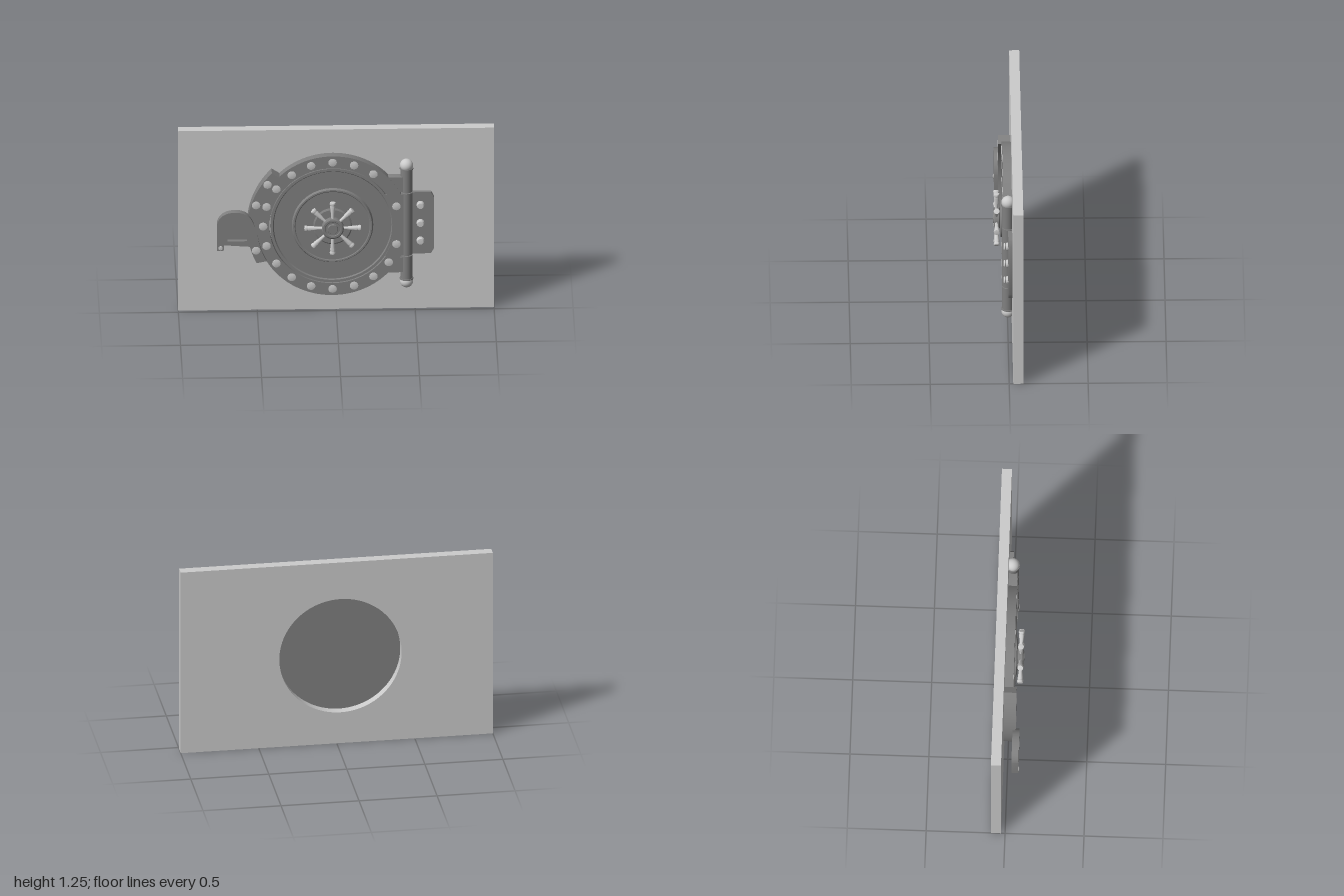
import * as THREE from 'three';
import { toCreasedNormals } from 'three/addons/utils/BufferGeometryUtils.js';

const CX = -0.024, CY = 0.605; // centre of the round door
const pale = new THREE.MeshStandardMaterial({ color: 0xcccccc });
const dark = new THREE.MeshStandardMaterial({ color: 0x808080 });
const V = (x, y) => new THREE.Vector2(x, y);

export function createModel() {
  const model = new THREE.Group();
  const add = (name, geo, mat, x = 0, y = 0, z = 0, parent = model) => {
    const mesh = new THREE.Mesh(geo, mat);
    mesh.name = name;
    mesh.position.set(x, y, z);
    parent.add(mesh);
    return mesh;
  };
  const polygon = pts => new THREE.Shape(pts.map(p => V(...p)));
  const circle = (r, x = 0, y = 0) => new THREE.Path().absarc(x, y, r, 0, Math.PI * 2, true);
  // Flat plate between two depths
  const plate = (shape, z0, z1) => toCreasedNormals(
    new THREE.ExtrudeGeometry(shape, { depth: z1 - z0, bevelEnabled: false, curveSegments: 64 }).translate(0, 0, z0), 0.6);
  // Turned part whose axis points to the front; points are [radius, z]
  const turned = (pts, seg = 64) => toCreasedNormals(
    new THREE.LatheGeometry(pts.map(p => V(...p)), seg).rotateX(Math.PI / 2), 0.5);
  const polar = (r, deg) => {
    const a = THREE.MathUtils.degToRad(deg);
    return [CX + r * Math.cos(a), CY + r * Math.sin(a)];
  };

  // Wall with the round opening
  const wall = polygon([[-1, 0], [1, 0], [1, 1.25], [-1, 1.25]]);
  wall.holes.push(circle(0.392, CX, CY));
  add('wall', plate(wall, -0.09, -0.026), pale);

  // Fixed door frame with its two hinge arms
  const ring = new THREE.Shape().absarc(0, 0, 0.483, 0, Math.PI * 2, false);
  ring.holes.push(circle(0.4));
  add('frameRing', plate(ring, -0.026, 0.03), dark, CX, CY);
  for (const s of [1, -1]) {
    const pts = [[0.26, 0.3], [0.33, 0.228], [0.45, 0.228], [0.45, 0.33], [0.33, 0.33]];
    const arm = polygon(pts.map(([x, y]) => [x, CY + s * y]));
    add('frameArm', plate(arm, -0.025, 0.029), dark);
  }

  // Door leaf with stepped face
  add('door', turned([[0, -0.03], [0.393, -0.03], [0.395, 0.028], [0.378, 0.028], [0.372, 0.02],
    [0.258, 0.02], [0.25, 0.034], [0.24, 0.034], [0.235, 0.03], [0, 0.03]], 96), dark, CX, CY);

  // Rivets around the frame
  const rivet = turned([[0, 0], [0.027, 0], [0.027, 0.004], [0.018, 0.006], [0, 0.007]], 20);
  for (let i = 0; i < 20; i++) {
    if (i === 0 || i === 1 || i === 2 || i === 19) continue;
    add('frameRivet', rivet, pale, ...polar(0.44, i * 18), 0.027);
  }

  // Curved latch plate on the door's right side
  const rad = THREE.MathUtils.degToRad;
  const latch = new THREE.Shape().absarc(0, 0, 0.54, rad(135.5), rad(207), false);
  latch.absarc(0, 0, 0.478, rad(209), rad(134), true);
  add('latchPlate', plate(latch, -0.026, 0.052), dark, CX, CY);
  for (const a of [144, 162, 198]) add('latchRivet', rivet, pale, ...polar(0.51, a), 0.048);

  // Lock box with a square recess
  const lock = new THREE.Shape([[-0.757, 0.458], [-0.715, 0.458], [-0.712, 0.498], [-0.54, 0.485],
    [-0.52, 0.5], [-0.52, 0.62]].map(p => V(...p)));
  lock.bezierCurveTo(-0.53, 0.68, -0.57, 0.724, -0.64, 0.724);
  lock.bezierCurveTo(-0.7, 0.724, -0.745, 0.7, -0.757, 0.64);
  const recess = [[-0.692, 0.525], [-0.692, 0.68], [-0.568, 0.68], [-0.568, 0.525]];
  lock.holes.push(new THREE.Path(recess.map(p => V(...p))));
  add('lockBox', plate(lock, 0.032, 0.076), dark);
  add('lockRecess', new THREE.BoxGeometry(0.126, 0.157, 0.015), dark, -0.63, 0.6025, 0.0405);
  add('lockPin', turned([[0, 0], [0.014, 0], [0.014, 0.005], [0, 0.008]], 16), pale, -0.735, 0.479, 0.074);

  // Hinge strap on the door and leaf plate on the wall
  const strap = polygon([[0.31, 0.392], [0.45, 0.392], [0.45, 0.818], [0.31, 0.818], [0.36, 0.7], [0.36, 0.51]]);
  add('hingeStrap', plate(strap, -0.024, 0.033), dark);
  for (const a of [18, -18]) add('strapRivet', rivet, pale, ...polar(0.425, a), 0.03);
  const leaf = polygon([[0.44, 0.392], [0.6, 0.392], [0.62, 0.43], [0.62, 0.78], [0.6, 0.818], [0.44, 0.818]]);
  add('hingeLeaf', plate(leaf, -0.026, 0.0), dark);
  const bolt = turned([[0, 0], [0.025, 0], [0.025, 0.01], [0.018, 0.015], [0.024, 0.02], [0.02, 0.028], [0, 0.03]], 12);
  for (const y of [0.485, 0.607, 0.733]) add('leafBolt', bolt, pale, 0.533, y, 0);

  // Hinge barrel: three knuckles, end collars and ball ends
  const HX = 0.445;
  for (const [y0, y1] of [[0.225, 0.386], [0.392, 0.822], [0.828, 0.985]])
    add('hingeKnuckle', new THREE.CylinderGeometry(0.038, 0.038, y1 - y0, 32), dark, HX, (y0 + y1) / 2, 0);
  for (const s of [1, -1]) {
    add('hingeCollar', new THREE.CylinderGeometry(0.043, 0.043, 0.008, 32), dark, HX, CY + s * 0.382, 0);
    add('hingeBall', new THREE.SphereGeometry(0.042, 32, 20), pale, HX, CY + s * 0.403, 0);
  }

  // Handwheel: base, hub and eight flared spokes
  const wheel = new THREE.Group();
  wheel.name = 'handwheel';
  wheel.position.set(CX, CY, 0);
  model.add(wheel);
  add('wheelBase', turned([[0, 0.02], [0.123, 0.02], [0.123, 0.04], [0.115, 0.045], [0, 0.045]], 48), dark, 0, 0, 0, wheel);
  add('wheelHub', turned([[0, 0.04], [0.055, 0.04], [0.07, 0.052], [0.07, 0.078], [0.062, 0.084], [0.05, 0.084],
    [0.046, 0.08], [0.034, 0.08], [0.03, 0.088], [0, 0.088]], 48), dark, 0, 0, 0, wheel);
  const spoke = toCreasedNormals(new THREE.LatheGeometry([[0.01, 0.05], [0.01, 0.085], [0.017, 0.15],
    [0.015, 0.158], [0.02, 0.168], [0.018, 0.178], [0, 0.181]].map(p => V(...p)), 16), 0.7);
  for (let i = 0; i < 8; i++)
    add('wheelSpoke', spoke, pale, 0, 0, 0.067, wheel).rotation.z = i * Math.PI / 4;

  return model;
}
